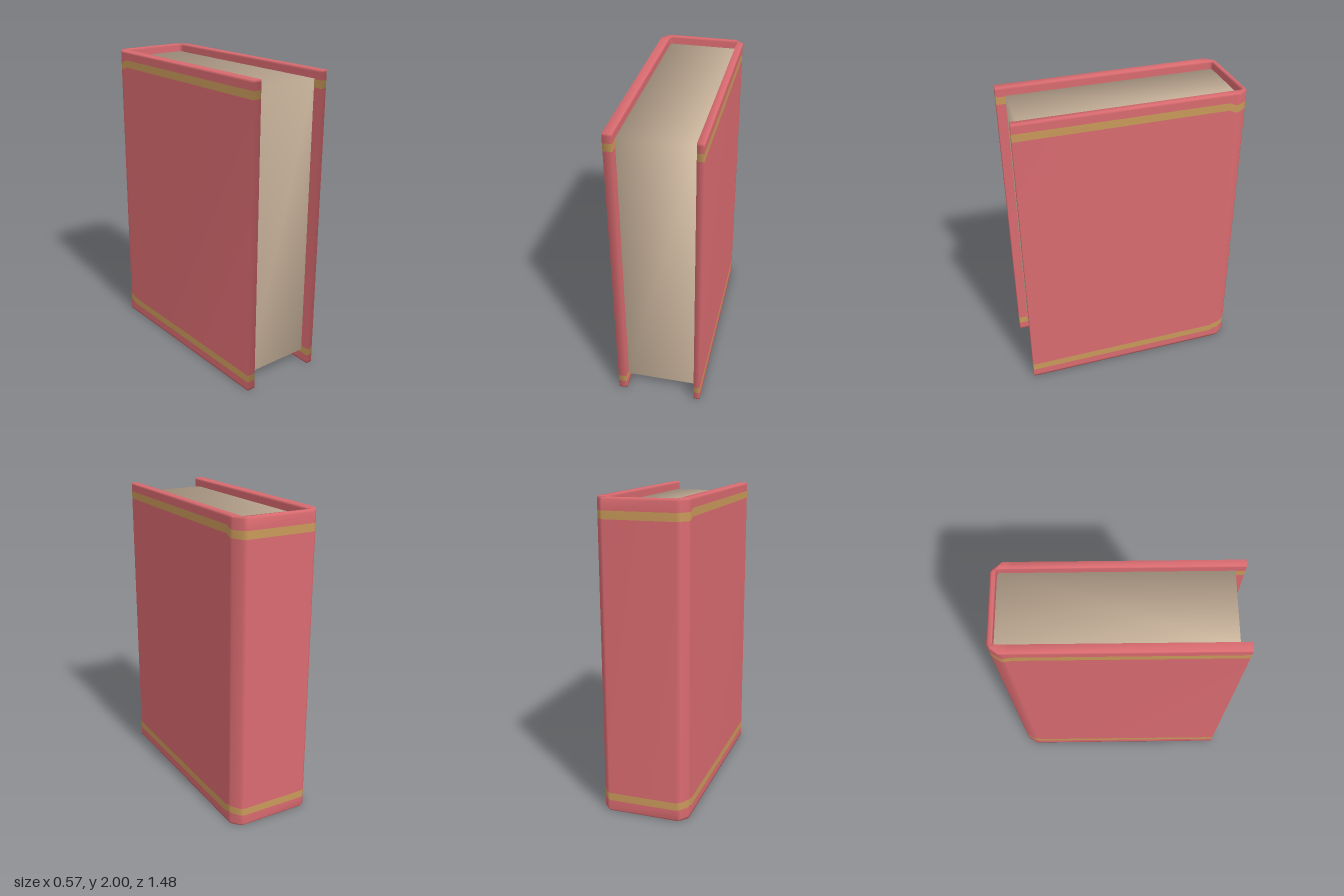
import * as THREE from 'three';
import { mergeVertices } from 'three/addons/utils/BufferGeometryUtils.js';

const paint = (color) => new THREE.MeshStandardMaterial({ color });

// Half of the U-shaped cover in plan, fore edge to spine: [outer x, outer z, inner x, inner z]
const HALF = [
  [0.284, 0.74, 0.235, 0.74],
  [0.284, -0.61, 0.235, -0.61],
  [0.284, -0.645, 0.235, -0.645],
  [0.284, -0.67, 0.235, -0.67],
  [0.247, -0.725, 0.235, -0.695],
  [0.225, -0.74, 0.222, -0.706],
];
const INNER_SHIFT = 0.007;

// Heights of the cover's rings; the stripe rings step inward at the spine
const LOW = [0, 0.015, 0.06, 0.11];
const LEVELS = [...LOW, ...LOW.map((y) => 2 - y).reverse()];
const GOLD_BANDS = [2, 4];

function coverParts() {
  const half = HALF.map((p, i) => ({ p, side: 1, onSpine: i > 1 }));
  const full = [...half, ...half.map((h) => ({ ...h, side: -1 })).reverse()];
  const n = full.length;
  const ringSize = n * 2;
  const positions = [];

  LEVELS.forEach((level, k) => {
    const isEnd = k === 0 || k === LEVELS.length - 1;
    const isStripe = k > 1 && k < LEVELS.length - 2;
    const step = isStripe ? 0.018 * (level < 1 ? 1 : -1) : 0;
    // Outer wall, with a small bevel at the spine's ends
    for (const { p, side, onSpine } of full) {
      const inset = isEnd && p[1] < -0.7 ? 0.013 : 0;
      positions.push(side * p[0], level + (onSpine ? step : 0), p[1] + inset);
    }
    // Inner wall, running back the other way
    for (const { p, side, onSpine } of [...full].reverse()) {
      positions.push(side * p[2] + INNER_SHIFT, level + (onSpine ? step : 0), p[3]);
    }
  });

  const red = [];
  const gold = [];
  const quad = (list, a, b, c, d) => list.push(a, b, c, a, c, d);

  // Walls
  for (let k = 0; k < LEVELS.length - 1; k++) {
    const list = GOLD_BANDS.includes(k) ? gold : red;
    const base = k * ringSize;
    for (let i = 0; i < ringSize; i++) {
      const j = (i + 1) % ringSize;
      quad(list, base + i, base + j, base + ringSize + j, base + ringSize + i);
    }
  }
  // Top and bottom rims
  const top = (LEVELS.length - 1) * ringSize;
  for (let i = 0; i < n - 1; i++) {
    const a = i, b = i + 1, c = ringSize - 2 - i, d = ringSize - 1 - i;
    quad(red, top + a, top + b, top + c, top + d);
    quad(red, d, c, b, a);
  }

  // Normals are shared so shading runs smoothly across the colour bands
  const whole = new THREE.BufferGeometry();
  whole.setAttribute('position', new THREE.Float32BufferAttribute(positions, 3));
  whole.setIndex([...red, ...gold]);
  whole.computeVertexNormals();
  return [red, gold].map((index) => {
    const part = new THREE.BufferGeometry();
    part.setAttribute('position', whole.getAttribute('position'));
    part.setAttribute('normal', whole.getAttribute('normal'));
    part.setIndex(index);
    return part;
  });
}

// Block of pages with smooth corner normals
function pagesGeometry() {
  const box = new THREE.BoxGeometry(0.471, 1.862, 1.388);
  box.deleteAttribute('normal');
  box.deleteAttribute('uv');
  const smooth = mergeVertices(box);
  smooth.computeVertexNormals();
  return smooth;
}

export function createModel() {
  const book = new THREE.Group();
  book.name = 'book';

  const [coverGeometry, stripeGeometry] = coverParts();
  const cover = new THREE.Mesh(coverGeometry, paint(0xd96b70));
  cover.name = 'cover';
  const stripes = new THREE.Mesh(stripeGeometry, paint(0xc9995a));
  stripes.name = 'coverStripes';

  const pages = new THREE.Mesh(pagesGeometry(), paint(0xdec6ac));
  pages.name = 'pages';
  pages.position.set(INNER_SHIFT, 1.013, -0.012);

  book.add(cover, stripes, pages);
  return book;
}
